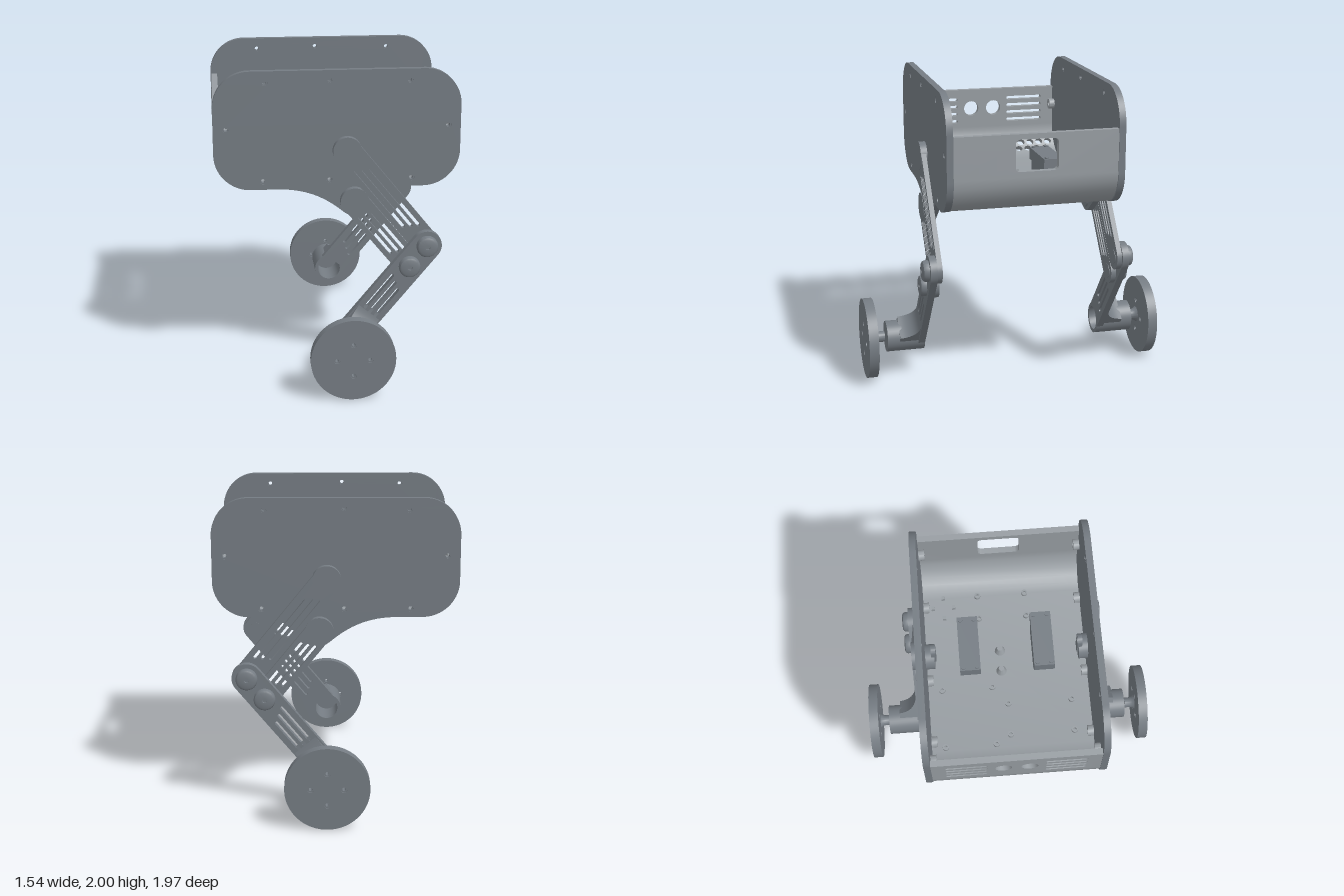
import * as THREE from 'three';
import { mergeGeometries, toCreasedNormals } from 'three/addons/utils/BufferGeometryUtils.js';

const dark = new THREE.MeshStandardMaterial({ color: 0x757c83 });
const light = new THREE.MeshStandardMaterial({ color: 0x979da2 });
const V = (x, y) => new THREE.Vector2(x, y);
const HIP = V(0.058, 1.494), ROCKER = V(0.105, 1.165);
const KNEE = V(0.561, 0.874), KNEE_LOW = V(0.45, 0.742), HUB = V(0.058, 0.265);

function add(parent, name, geometry, material = dark) {
  const mesh = new THREE.Mesh(toCreasedNormals(geometry, 0.6), material);
  mesh.name = name;
  parent.add(mesh);
}

const circle = (x, y, r) => new THREE.Path().absarc(x, y, r, 0, Math.PI * 2);

// Rounded bar outline between two points, used for links and slots
function bar(a, b, r, Kind = THREE.Path) {
  const t = Math.atan2(b.y - a.y, b.x - a.x), q = Math.PI / 2;
  const p = new Kind();
  p.absarc(b.x, b.y, r, t - q, t + q);
  p.absarc(a.x, a.y, r, t + q, t + 3 * q);
  p.closePath();
  return p;
}

const rect = (x0, y0, x1, y1) => new THREE.Shape([V(x0, y0), V(x1, y0), V(x1, y1), V(x0, y1)]);

const extrude = (shape, depth, curveSegments = 12) =>
  new THREE.ExtrudeGeometry(shape, { depth, bevelEnabled: false, curveSegments });

// Flat plate between two distances from the mid-plane, on either side
function plate(shape, side, z0, z1, segments) {
  return extrude(shape, z1 - z0, segments).translate(0, 0, side > 0 ? z0 : -z1);
}

// Turned part on an axis along z: profile is [radius, distance from mid-plane]
function turned(profile, side, c, segments = 40) {
  return new THREE.LatheGeometry(profile.map(p => V(...p)), segments)
    .rotateX(side * Math.PI / 2).translate(c.x, c.y, 0);
}
const disc = (r, z0, z1) => [[0, z0], [r, z0], [r, z1], [0, z1]];
const sleeve = (ri, ro, z0, z1) => [[ri, z0], [ro, z0], [ro, z1], [ri, z1], [ri, z0]];

// Link with staggered lightening slots running along it
function link(a, b, r, from, to, offsets) {
  const shape = bar(a, b, r, THREE.Shape);
  const d = b.clone().sub(a), n = V(-d.y, d.x).normalize();
  offsets.forEach((o, i) => {
    const shift = (i - 1) * 0.035;
    const at = t => a.clone().addScaledVector(d, t).addScaledVector(n, o);
    shape.holes.push(bar(at(from + shift), at(to + shift), 0.011));
  });
  return shape;
}

// Tray: flat strips bent around the two lower corners
function trayGeometry() {
  const H = 0.765, R = 0.24, TOP = 1.76, T = 0.04, W = 0.518;
  const wall = TOP - 1.25 - R, arc = R * Math.PI / 2, floor = 2 * (H - R);
  const total = 2 * (wall + arc) + floor, strips = 6;
  const pieces = [];
  const bend = (s, d) => {
    const right = s > total / 2, u = right ? total - s : s;
    let x, y;
    if (u < wall) { x = -H + d; y = TOP - u; }
    else if (u < wall + arc) {
      const t = (u - wall) / R;
      x = -H + R - (R - d) * Math.cos(t);
      y = 1.25 + R - (R - d) * Math.sin(t);
    } else { x = -H + R + u - wall - arc; y = 1.25 + d; }
    return [right ? -x : x, y];
  };
  const strip = (s0, s1, holes = []) => {
    const shape = rect(s0, -W, s1, W);
    shape.holes.push(...holes);
    const g = extrude(shape, T, 10), p = g.attributes.position;
    for (let i = 0; i < p.count; i++) {
      const [x, y] = bend(p.getX(i), p.getZ(i));
      p.setXYZ(i, x, y, -p.getY(i));
    }
    pieces.push(g);
  };
  // Vented end wall
  const vents = [circle(0.135, 0.08, 0.052), circle(0.135, -0.08, 0.052)];
  for (const k of [-1, 1]) for (let i = 0; i < 4; i++) {
    const s = 0.07 + i * 0.052;
    vents.push(bar(V(s, k * 0.19), V(s, k * 0.42), 0.012));
  }
  strip(0, wall, vents);
  // Curved corners, one with two staggered rows of vent holes
  for (let i = 0; i < strips; i++) {
    const s0 = wall + arc * i / strips, s1 = wall + arc * (i + 1) / strips, holes = [];
    if (i === 2 || i === 3) {
      const shift = i === 2 ? 0.012 : -0.012;
      for (let k = -7; k <= 7; k++) holes.push(circle((s0 + s1) / 2, k * 0.066 + shift, 0.026));
    }
    strip(s0, s1, holes);
    strip(total - s1, total - s0);
  }
  strip(wall + arc, wall + arc + floor);
  // End wall with a rounded window
  const c = total - 0.134, w = new THREE.Path(), a = 0.1, b = 0.135, r = 0.03, q = Math.PI / 2;
  [[1, 1], [-1, 1], [-1, -1], [1, -1]].forEach(([i, j], k) =>
    w.absarc(c + i * (a - r), j * (b - r), r, k * q, (k + 1) * q));
  w.closePath();
  strip(total - wall, total, [w]);
  return mergeGeometries(pieces);
}

function sidePanelShape(holes) {
  const s = new THREE.Shape(), X = 0.77, R = 0.23, q = Math.PI / 2;
  s.moveTo(-X + R, 1.25);
  s.lineTo(-0.385, 1.25);
  s.bezierCurveTo(-0.2, 1.25, -0.08, 1.19, 0.034, 1.094);
  s.absarc(ROCKER.x, ROCKER.y, 0.1, -2.35, -0.95);
  s.lineTo(0.38, 1.25);
  s.absarc(X - R, 1.25 + R, R, -q, 0);
  s.absarc(X - R, 2 - R, R, 0, q);
  s.absarc(-X + R, 2 - R, R, q, 2 * q);
  s.absarc(-X + R, 1.25 + R, R, 2 * q, 3 * q);
  holes.forEach(([x, y]) => s.holes.push(circle(x, y, 0.02)));
  return s;
}

function buildSide(body, side) {
  const holes = [[-0.45, 1.93], [-0.05, 1.94], [0.445, 1.93], [0.69, 1.64], [-0.69, 1.64],
    [-0.465, 1.305], [-0.05, 1.305], [0.465, 1.305]];
  add(body, 'sidePanel', plate(sidePanelShape(holes), side, 0.518, 0.56, 16));
  holes.forEach(([x, y], i) => {
    add(body, 'screwSleeve', turned(sleeve(0.013, 0.022, 0.52, 0.555), side, V(x, y), 24));
    if (i > 2) add(body, 'screwBoss', turned(sleeve(0.016, 0.035, 0.48, 0.518), side, V(x, y), 24), light);
  });

  // Hip drive inside the panel
  add(body, 'hipHorn', turned(disc(0.08, 0.46, 0.518), side, V(HIP.x, 1.46)));
  const arm = bar(V(HIP.x, 1.46), V(HIP.x, 1.57), 0.035, THREE.Shape);
  arm.holes.push(bar(V(HIP.x, 1.55), V(HIP.x, 1.575), 0.015));
  add(body, 'hipArm', plate(arm, side, 0.45, 0.48));
  add(body, 'rockerBearing', turned(sleeve(0.03, 0.075, 0.505, 0.518), side, ROCKER));

  // Upper leg links
  const leg = new THREE.Group();
  leg.name = side > 0 ? 'frontLeg' : 'backLeg';
  body.add(leg);
  add(leg, 'hipPivot', turned(disc(0.09, 0.555, 0.603), side, HIP));
  add(leg, 'rockerPivot', turned(disc(0.09, 0.555, 0.603), side, ROCKER));
  add(leg, 'upperLink', plate(link(HIP, KNEE, 0.084, 0.2, 0.8, [-0.04, 0, 0.04]), side, 0.568, 0.6));
  add(leg, 'rockerLink', plate(link(ROCKER, KNEE_LOW, 0.082, 0.21, 0.79, [-0.04, 0, 0.04]), side, 0.568, 0.6));

  // Lower leg with hollow motor cup
  const shin = link(KNEE, HUB, 0.095, 0.4, 0.74, [-0.045, 0, 0.045]);
  shin.holes.push(circle(HUB.x, HUB.y, 0.08));
  add(leg, 'lowerLink', plate(shin, side, 0.601, 0.645));
  add(leg, 'motorCup', turned([[0.08, 0.601], [0.103, 0.601], [0.103, 0.85], [0, 0.85], [0, 0.82],
    [0.08, 0.82], [0.08, 0.601]], side, HUB));
  // Fillet blending the cup into the link over its full width
  const f = new THREE.Shape([V(0.06, 0.64), V(0.25, 0.64)]);
  f.bezierCurveTo(0.16, 0.65, 0.11, 0.68, 0.1, 0.77);
  f.lineTo(0.06, 0.77);
  const u = new THREE.Vector3(KNEE.x - HUB.x, KNEE.y - HUB.y, 0).normalize();
  const up = new THREE.Vector3(0, 0, side), across = u.clone().cross(up);
  const basis = new THREE.Matrix4().makeBasis(u, up, across).setPosition(HUB.x, HUB.y, 0);
  add(leg, 'cupFillet', extrude(f, 0.17).translate(0, 0, -0.085).applyMatrix4(basis));

  // Domed knee bolts
  for (const k of [KNEE, KNEE_LOW]) {
    add(leg, 'kneeBolt', turned([[0, 0.565], [0.045, 0.565], [0.045, 0.645], [0.068, 0.645], [0.068, 0.667],
      [0.062, 0.68], [0.05, 0.686], [0.014, 0.686], [0.014, 0.67], [0, 0.67]], side, k));
  }
}

function buildWheel(parent, side) {
  const shape = new THREE.Shape().absarc(HUB.x, HUB.y, 0.265, 0, Math.PI * 2);
  for (let i = 0; i < 4; i++) {
    const c = V(0.103, 0).rotateAround(V(0, 0), i * Math.PI / 2).add(HUB);
    shape.holes.push(circle(c.x, c.y, 0.02));
    add(parent, 'wheelSleeve', turned(sleeve(0.011, 0.022, 0.928, 0.98), side, c, 24));
  }
  add(parent, 'wheel', plate(shape, side, 0.923, 0.987, 32));
  add(parent, 'wheelAxle', turned([[0, 0.852], [0.036, 0.852], [0.036, 0.89], [0.042, 0.91], [0.055, 0.925], [0, 0.925]], side, HUB));
}

export function createModel() {
  const model = new THREE.Group();
  model.name = 'wheeledLegRobot';
  const body = new THREE.Group();
  body.name = 'body';
  body.position.z = -0.0075;
  model.add(body);
  add(body, 'tray', trayGeometry(), light);

  // Servo blocks with mounting flanges on the floor
  for (const z of [-0.238, 0.236]) {
    add(body, 'servoBody', new THREE.BoxGeometry(0.27, 0.12, 0.13).translate(0.122, 1.345, z));
    add(body, 'servoFlange', new THREE.BoxGeometry(0.37, 0.08, 0.132).translate(0.122, 1.44, z));
    for (const i of [-1, 1]) for (const j of [-1, 1]) {
      add(body, 'servoScrew', new THREE.CylinderGeometry(0.014, 0.014, 0.01, 12)
        .translate(0.122 + i * 0.163, 1.483, z + j * 0.043));
    }
  }

  // Board standoffs in three rectangular sets
  for (const [x0, x1, z0, z1] of [[-0.507, -0.12, -0.43, -0.105], [-0.45, -0.24, -0.01, 0.4], [0.366, 0.527, -0.158, 0.155]])
    for (const x of [x0, x1]) for (const z of [z0, z1]) {
      const g = new THREE.LatheGeometry(sleeve(0.01, 0.02, 1.285, 1.31).map(p => V(...p)), 16);
      add(body, 'standoff', g.translate(x, 0, z), light);
    }
  // Small locating pins and two rounded pegs
  for (const [x, z] of [[0.457, -0.455], [0.457, -0.32], [0.385, -0.385], [0.527, -0.385]]) {
    add(body, 'locatingPin', new THREE.BoxGeometry(0.022, 0.03, 0.022).translate(x, 1.3, z), light);
  }
  for (const x of [-0.01, 0.13]) {
    add(body, 'floorPeg', new THREE.CylinderGeometry(0.018, 0.035, 0.05, 20).translate(x, 1.312, -0.037), light);
  }

  for (const side of [1, -1]) {
    buildSide(body, side);
    buildWheel(model, side);
  }
  return model;
}
